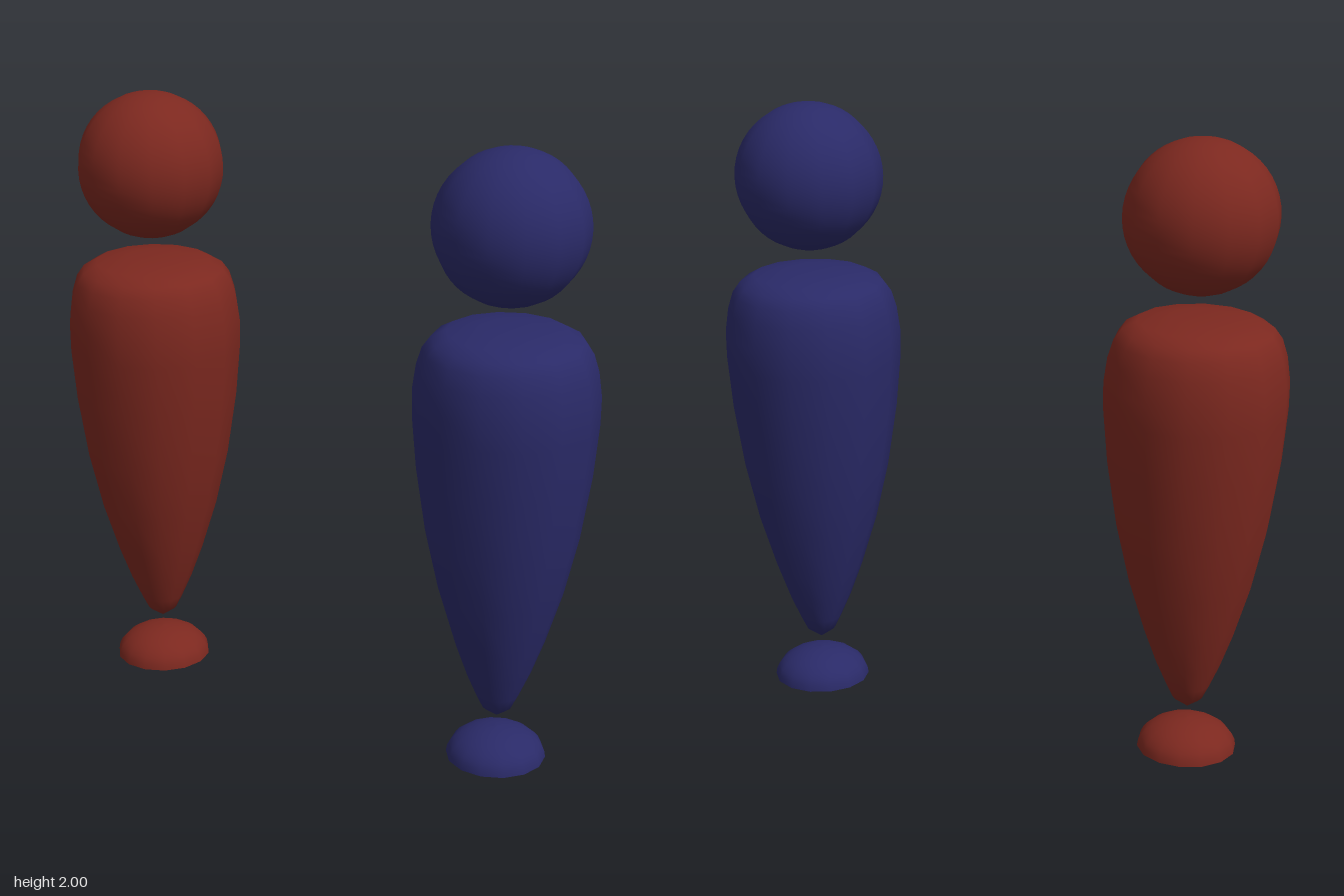
import * as THREE from 'three';

const SIDES = 14;

// Smooth turned shape with a corner of the polygon pointing along x
function turned(points) {
  const profile = points.map(([r, y]) => new THREE.Vector2(r, y));
  return new THREE.LatheGeometry(profile, SIDES).rotateY(Math.PI / 2);
}

// Tapered body, from the pointed foot up to the flat shoulders
const bodyProfile = [
  [0, 0.14], [0.048, 0.175], [0.07, 0.22], [0.105, 0.3], [0.145, 0.41],
  [0.197, 0.58], [0.24, 0.77], [0.272, 0.98], [0.287, 1.15], [0.288, 1.24],
  [0.277, 1.32], [0.26, 1.375], [0.235, 1.41], [0.19, 1.435], [0.09, 1.45], [0, 1.45],
];

function createFigure(name, color) {
  const figure = new THREE.Group();
  figure.name = name;
  const material = new THREE.MeshStandardMaterial({ color });
  const add = (part, geometry, y = 0) => {
    const mesh = new THREE.Mesh(geometry, material);
    mesh.name = part;
    mesh.position.y = y;
    figure.add(mesh);
  };

  add('head', new THREE.SphereGeometry(0.24, SIDES, 24), 1.76);
  add('body', turned(bodyProfile));

  // Flattened dome with a flat underside
  const dome = [];
  for (let i = 0; i <= 8; i++) {
    const a = (i / 8) * Math.PI / 2;
    dome.push([0.16 * Math.cos(a), 0.1 * Math.sin(a)]);
  }
  add('base', turned(dome));
  add('baseUnderside', new THREE.CircleGeometry(0.16, SIDES).rotateX(Math.PI / 2));
  return figure;
}

export function createModel() {
  const model = new THREE.Group();
  model.name = 'figurePair';
  const red = createFigure('redFigure', 0x7c281f);
  const blue = createFigure('blueFigure', 0x2a2a68);
  red.position.x = -0.67;
  blue.position.x = 0.67;
  model.add(red, blue);
  return model;
}
